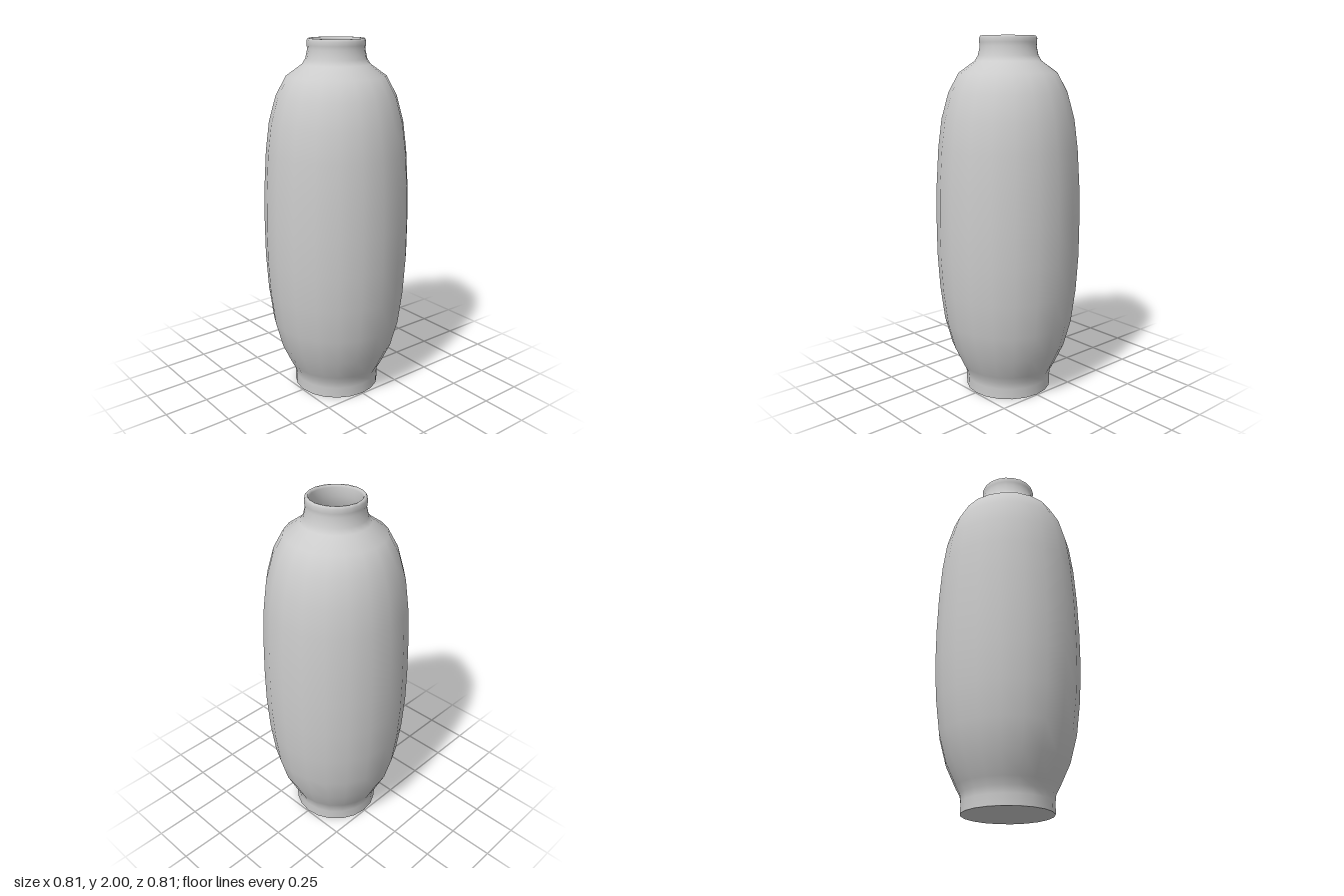
import * as THREE from 'three';

const SIDES = 20;

export function createModel() {
  const group = new THREE.Group();
  const material = new THREE.MeshStandardMaterial({ color: 0xcccccc });

  const add = (name, geometry, y = 0) => {
    const mesh = new THREE.Mesh(geometry, material);
    mesh.name = name;
    mesh.position.y = y;
    group.add(mesh);
    return mesh;
  };
  const lathe = (points) =>
    new THREE.LatheGeometry(points.map(([r, y]) => new THREE.Vector2(r, y)), SIDES);

  // Foot, body, shoulder and neck as [radius, height], from the ground up
  const outer = [
    [0.245, 0], [0.245, 0.06], [0.25, 0.1], [0.272, 0.14], [0.328, 0.26],
    [0.368, 0.41], [0.392, 0.6], [0.404, 0.8], [0.405, 1.0], [0.4, 1.2],
    [0.387, 1.4], [0.366, 1.56], [0.327, 1.7], [0.27, 1.805], [0.183, 1.867],
    [0.165, 1.895], [0.154, 1.945], [0.157, 1.965], [0.157, 1.988],
  ];
  // Rounded lip, then the hollow inside going down to the floor
  const lip = [[0.151, 2], [0.141, 2], [0.135, 1.988]];
  const inner = [
    [0.134, 1.94], [0.145, 1.89], [0.165, 1.85], [0.252, 1.79], [0.307, 1.69],
    [0.346, 1.55], [0.367, 1.4], [0.38, 1.2], [0.385, 1.0], [0.384, 0.8],
    [0.372, 0.6], [0.348, 0.41], [0.308, 0.26], [0.252, 0.14], [0.23, 0.1],
    [0.225, 0.03],
  ];
  add('vaseWall', lathe([...outer, ...lip, ...inner]));

  // Flat discs keep the edges of the foot and the floor sharp
  add('vaseFloor', new THREE.CircleGeometry(0.225, SIDES).rotateX(-Math.PI / 2), 0.03);
  add('footBase', new THREE.CircleGeometry(0.245, SIDES).rotateX(Math.PI / 2));

  return group;
}
